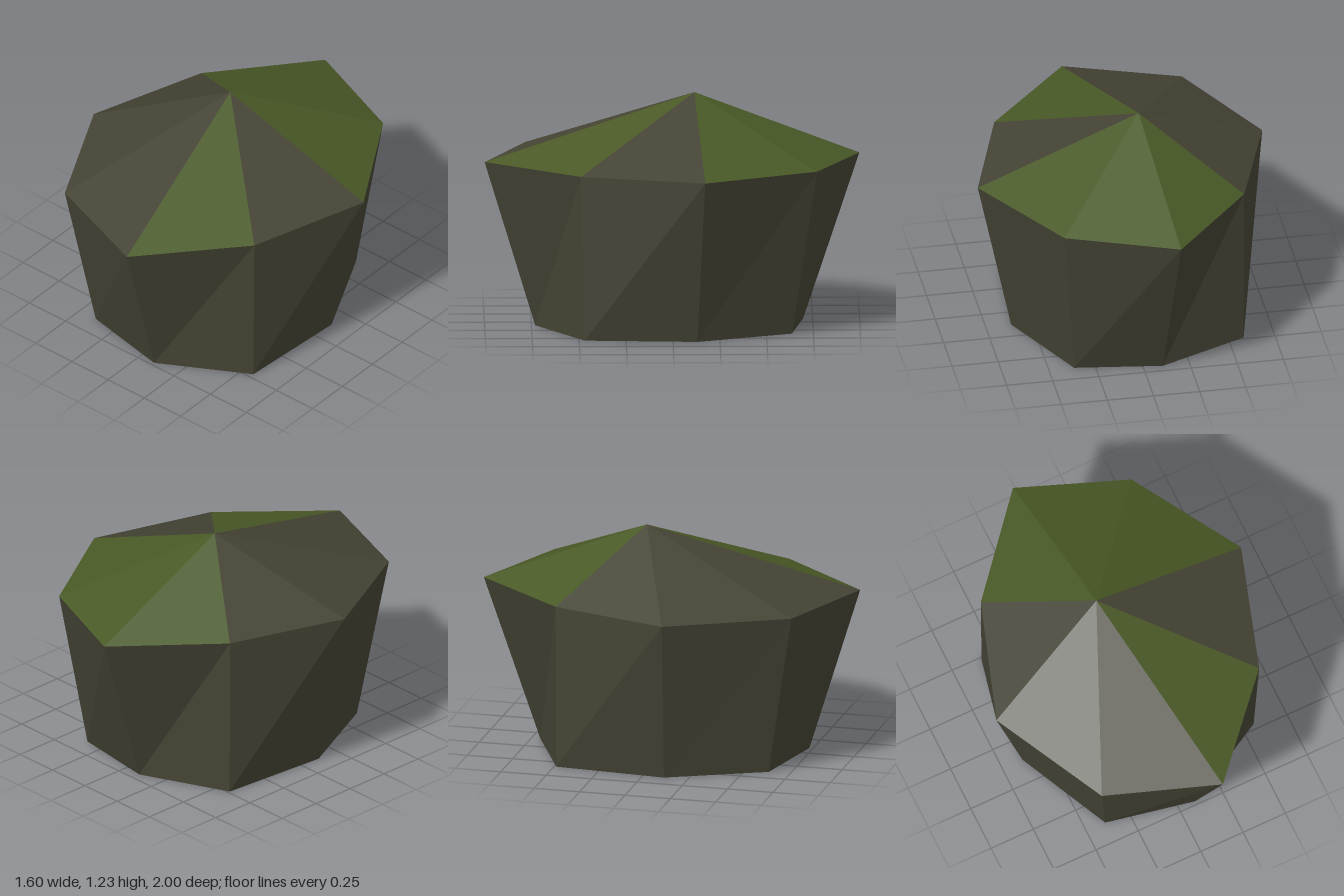
import * as THREE from 'three';

const RIM_Y = 0.89;
const APEX = [-0.08, 1.23, -0.12];

// Irregular eight-sided plan: rim x, rim z, taper towards the base, mossy roof facet
const PLAN = [
  [0.13, 1.0, 0.73, true],
  [0.59, 0.49, 0.96, false],
  [0.8, -0.17, 0.765, true],
  [0.44, -0.77, 0.825, true],
  [-0.15, -1.0, 0.7, true],
  [-0.585, -0.49, 0.995, false],
  [-0.8, 0.15, 0.79, false],
  [-0.48, 0.78, 0.81, false],
];

// Flat-shaded mesh from a list of triangles
function facetMesh(name, triangles, material) {
  const geometry = new THREE.BufferGeometry();
  geometry.setAttribute('position', new THREE.Float32BufferAttribute(triangles.flat(2), 3));
  geometry.computeVertexNormals();
  const mesh = new THREE.Mesh(geometry, material);
  mesh.name = name;
  return mesh;
}

export function createModel() {
  const stone = new THREE.MeshStandardMaterial({ color: 0x444334 });
  stone.name = 'dark stone';
  const moss = new THREE.MeshStandardMaterial({ color: 0x495926 });
  moss.name = 'moss green';

  const rim = PLAN.map(([x, z]) => [x, RIM_Y, z]);
  const foot = PLAN.map(([x, z, k]) => [x * k, 0, z * k]);

  const sides = [], underside = [], stoneTop = [], mossTop = [];
  PLAN.forEach((corner, i) => {
    const j = (i + 1) % PLAN.length;
    sides.push([foot[i], foot[j], rim[j]], [foot[i], rim[j], rim[i]]);
    underside.push([[0, 0, 0], foot[j], foot[i]]);
    (corner[3] ? mossTop : stoneTop).push([rim[i], rim[j], APEX]);
  });

  const rock = new THREE.Group();
  rock.name = 'rock';
  rock.add(
    facetMesh('rockSides', sides, stone),
    facetMesh('rockUnderside', underside, stone),
    facetMesh('stoneTopFacets', stoneTop, stone),
    facetMesh('mossTopFacets', mossTop, moss),
  );
  return rock;
}
